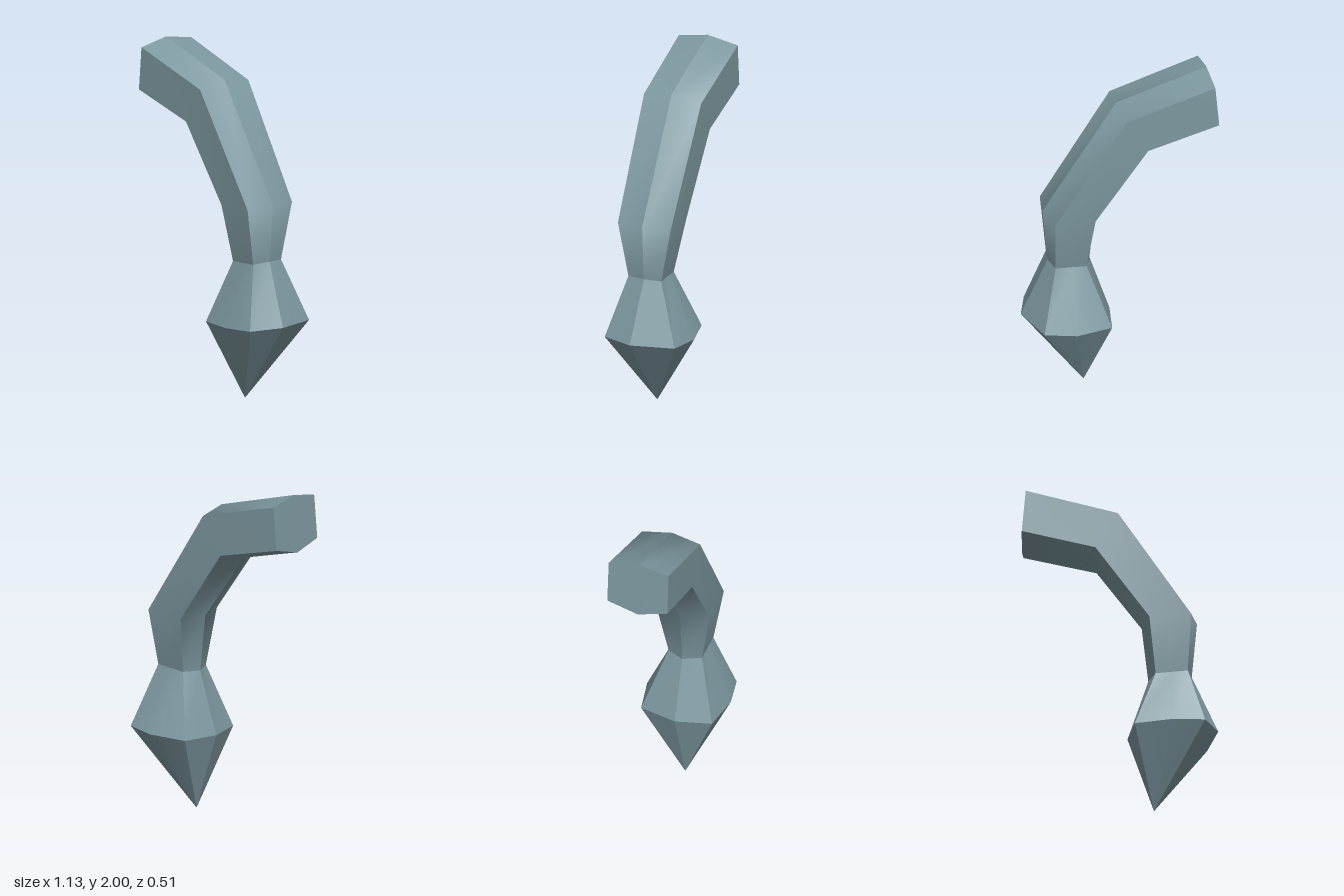
import * as THREE from 'three';
import { mergeGeometries } from 'three/addons/utils/BufferGeometryUtils.js';

// One eight-point loop: outer ridge, front side (3 points), inner ridge, back side (3 points)
function section(outer, outerSide, innerSide, inner, zFront, zBack, bulge = 0, zRidge = 0.015) {
  const mid = [(outerSide[0] + innerSide[0]) / 2 + (bulge ? 0.02 : 0), (outerSide[1] + innerSide[1]) / 2];
  const at = (p, z) => new THREE.Vector3(p[0], p[1], z);
  return [
    at(outer, zRidge),
    at(outerSide, zFront), at(mid, zFront + bulge), at(innerSide, zFront),
    at(inner, 0.015),
    at(innerSide, zBack), at(mid, zBack - bulge * 1.4), at(outerSide, zBack),
  ];
}

// Point indices of each long face; shading is smooth within a face and sharp between faces
const faces = [[0, 1], [1, 2, 3], [3, 4], [4, 5], [5, 6, 7], [7, 0]];

function skin(sections) {
  const strips = faces.map((face) => {
    const positions = [], index = [], n = face.length;
    for (const s of sections) for (const i of face) positions.push(...s[i].toArray());
    for (let r = 0; r < sections.length - 1; r++) {
      for (let k = 0; k < n - 1; k++) {
        const a = r * n + k, b = a + 1, c = a + n, d = c + 1;
        index.push(a, b, d, a, d, c);
      }
    }
    const g = new THREE.BufferGeometry();
    g.setAttribute('position', new THREE.Float32BufferAttribute(positions, 3));
    g.setIndex(index);
    g.computeVertexNormals();
    return g;
  });
  return mergeGeometries(strips);
}

// Flat lid over the first section
function lid(loop) {
  const g = new THREE.BufferGeometry().setFromPoints(loop);
  const index = [];
  for (let i = 1; i < loop.length - 1; i++) index.push(0, i + 1, i);
  g.setIndex(index);
  g.computeVertexNormals();
  return g;
}

export function createModel() {
  const group = new THREE.Group();
  group.name = 'bentSpike';
  const slate = new THREE.MeshStandardMaterial({ color: 0x7d98a0 });
  slate.name = 'slateBlue';

  const end = section([-0.54, 2.0], [-0.54, 1.965], [-0.563, 1.71], [-0.567, 1.663], 0.196, -0.172);
  const upperBend = section([0.0, 1.85], [-0.01, 1.82], [-0.14, 1.605], [-0.165, 1.56], 0.19, -0.166);
  const lowerBend = section([0.44, 1.19], [0.41, 1.185], [0.17, 1.17], [0.122, 1.165], 0.177, -0.15);
  const neck = section([0.41, 0.855], [0.39, 0.85], [0.205, 0.835], [0.16, 0.83], 0.12, -0.085);
  const rim = section([0.563, 0.497], [0.492, 0.49], [0.088, 0.47], [0.04, 0.465], 0.225, -0.21, 0.033, 0.04);
  const point = new THREE.Vector3(0.193, 0.005, 0.022);
  const tip = rim.map(() => point);

  const add = (name, geometry) => {
    const mesh = new THREE.Mesh(geometry, slate);
    mesh.name = name;
    group.add(mesh);
  };
  add('bentArm', skin([end, upperBend, lowerBend, neck]));
  add('armEnd', lid(end));
  add('flaredHead', skin([neck, rim]));
  add('pointedTip', skin([rim, tip]));
  return group;
}
